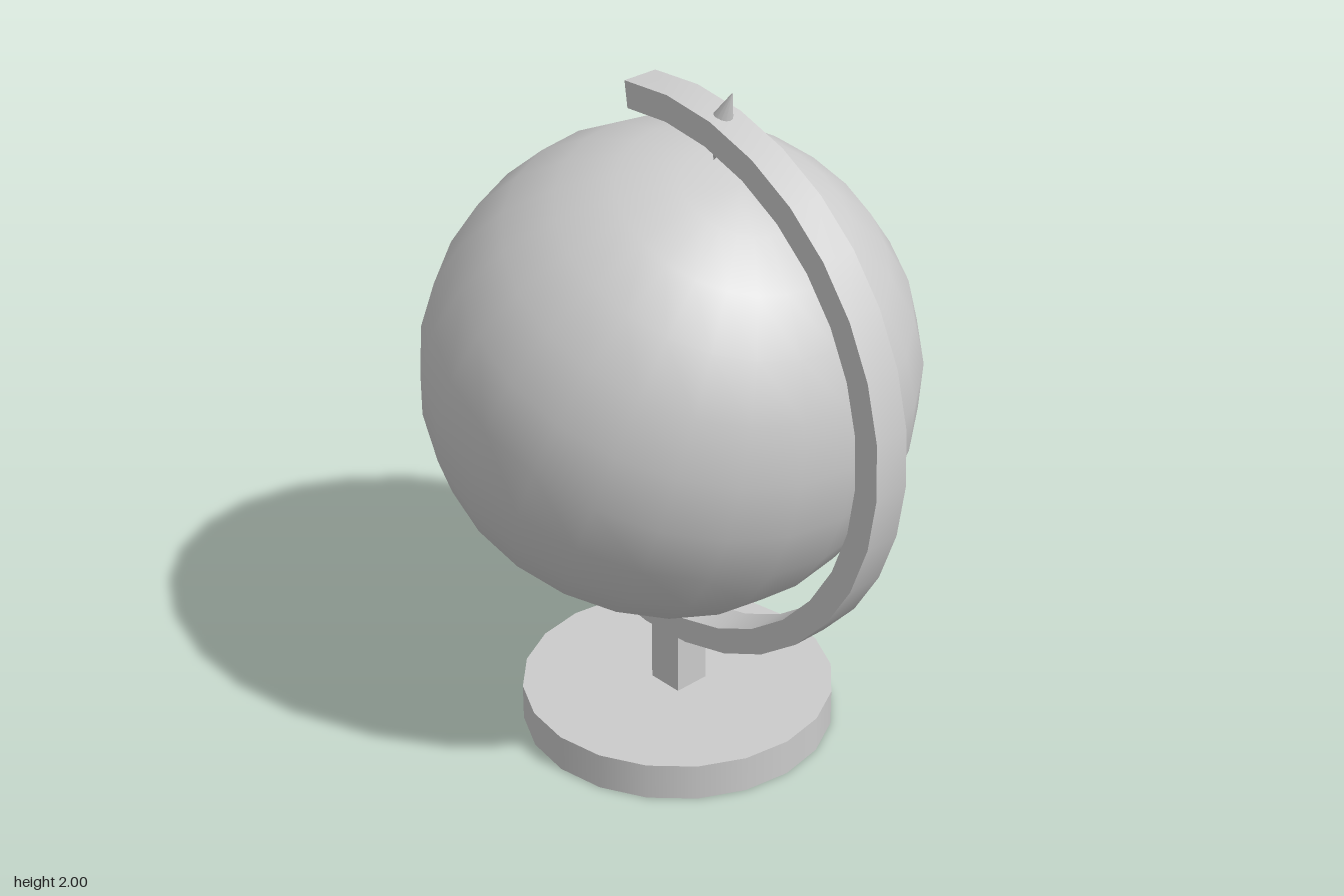
import * as THREE from 'three';
import { toCreasedNormals } from 'three/addons/utils/BufferGeometryUtils.js';

const CENTER = new THREE.Vector3(0, 1.12, -0.07);
const TILT = THREE.MathUtils.degToRad(23.4);
const BAND_WIDTH = 0.11;

export function createModel() {
  const model = new THREE.Group();
  model.name = 'deskGlobe';
  const material = new THREE.MeshStandardMaterial({ color: 0xcccccc });

  const add = (name, geometry, x, y, z) => {
    const mesh = new THREE.Mesh(geometry, material);
    mesh.name = name;
    mesh.position.set(x, y, z);
    model.add(mesh);
    return mesh;
  };

  // Round foot and square post
  add('base', new THREE.CylinderGeometry(0.453, 0.453, 0.11, 20), 0, 0.055, -0.045);
  add('post', new THREE.BoxGeometry(BAND_WIDTH, 0.24, BAND_WIDTH), 0, 0.22, -0.04);

  // Ball, leaning towards the front
  const ball = add('globe', new THREE.SphereGeometry(0.693, 24, 13), CENTER.x, CENTER.y, CENTER.z);
  ball.rotation.x = TILT;

  // Curved support band: an open ring drawn in the (z, y) plane
  const steps = 20, start = THREE.MathUtils.degToRad(98), sweep = THREE.MathUtils.degToRad(225);
  const ring = (radius) => Array.from({ length: steps + 1 }, (_, i) => {
    const a = start - (sweep * i) / steps;
    return new THREE.Vector2(radius * Math.cos(a), radius * Math.sin(a));
  });
  const outline = new THREE.Shape([...ring(0.833), ...ring(0.757).reverse()]);
  const bandGeometry = new THREE.ExtrudeGeometry(outline, { depth: BAND_WIDTH, bevelEnabled: false });
  bandGeometry.translate(0, 0, -BAND_WIDTH / 2);
  bandGeometry.rotateY(-Math.PI / 2);
  add('supportBand', toCreasedNormals(bandGeometry, 0.6), CENTER.x, CENTER.y, CENTER.z);

  // Pivot pins: at each pole one cone points outward and one inward
  const length = 0.115;
  const pin = new THREE.ConeGeometry(0.037, length, 12);
  pin.translate(0, -length / 2, 0); // tip at the origin
  const tips = [
    ['topPinOuter', 2.0, 0.165, 0],
    ['topPinInner', 1.79, 0.095, Math.PI],
    ['bottomPinInner', 0.45, -0.25, 0],
    ['bottomPinOuter', 0.245, -0.307, Math.PI],
  ];
  for (const [name, y, z, flip] of tips) {
    add(name, pin, 0, y, z).rotation.x = TILT + flip;
  }

  return model;
}
